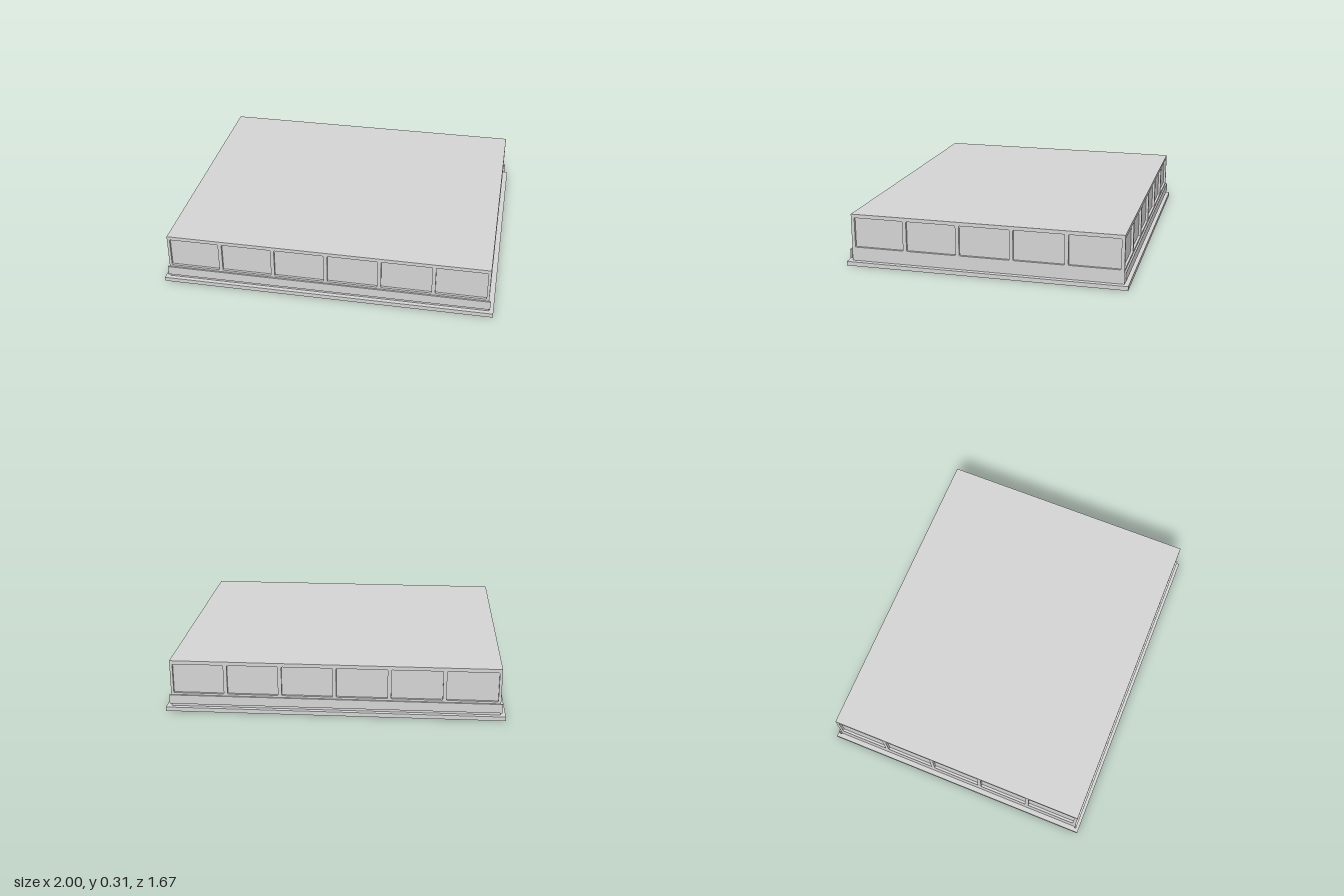
import * as THREE from 'three';

const grey = new THREE.MeshStandardMaterial({ color: 0xd4d4d4 });
grey.name = 'light grey';

const HX = 0.97, HZ = 0.81, BASE = 0.025, TOP = 0.31, DEPTH = 0.015;

function box(name, w, h, d, y, z = 0) {
  const mesh = new THREE.Mesh(new THREE.BoxGeometry(w, h, d), grey);
  mesh.name = name;
  mesh.position.set(0, y + h / 2, z);
  return mesh;
}

// Window opening with slightly rounded corners
function opening(x0, x1, y0, y1, r = 0.006) {
  const p = new THREE.Path();
  p.moveTo(x0 + r, y0);
  p.lineTo(x1 - r, y0);
  p.quadraticCurveTo(x1, y0, x1, y0 + r);
  p.lineTo(x1, y1 - r);
  p.quadraticCurveTo(x1, y1, x1 - r, y1);
  p.lineTo(x0 + r, y1);
  p.quadraticCurveTo(x0, y1, x0, y1 - r);
  p.lineTo(x0, y0 + r);
  p.quadraticCurveTo(x0, y0, x0 + r, y0);
  return p;
}

// Wall skin pierced by a row of equal openings, spread over +-span
function wallFrame(name, half, span, count, gap) {
  const shape = new THREE.Shape();
  shape.moveTo(-half, BASE);
  shape.lineTo(half, BASE);
  shape.lineTo(half, TOP);
  shape.lineTo(-half, TOP);
  shape.closePath();
  const width = (2 * span - gap * (count - 1)) / count;
  for (let i = 0; i < count; i++) {
    const x = -span + i * (width + gap);
    shape.holes.push(opening(x, x + width, 0.108, 0.288));
  }
  const geometry = new THREE.ExtrudeGeometry(shape, { depth: DEPTH, bevelEnabled: false, curveSegments: 3 });
  const mesh = new THREE.Mesh(geometry, grey);
  mesh.name = name;
  return mesh;
}

export function createModel() {
  const model = new THREE.Group();
  model.name = 'lowBuilding';

  // Foundation slab and solid core, whose sides form the recessed panels
  model.add(box('foundationSlab', 2, BASE, 1.674, 0));
  model.add(box('core', 2 * (HX - DEPTH), TOP - BASE, 2 * (HZ - DEPTH), BASE));

  for (const s of [1, -1]) {
    const end = s > 0 ? 'front' : 'back';
    const side = s > 0 ? 'left' : 'right';

    // Long walls with six panels
    const longWall = wallFrame(end + 'WallFrame', HX, 0.954, 6, 0.022);
    longWall.rotation.y = s > 0 ? 0 : Math.PI;
    longWall.position.z = s * (HZ - DEPTH);
    model.add(longWall);

    // Short walls with five panels
    const shortWall = wallFrame(side + 'WallFrame', HZ - DEPTH, 0.79, 5, 0.022);
    shortWall.rotation.y = s * Math.PI / 2;
    shortWall.position.x = s * (HX - DEPTH);
    model.add(shortWall);

    // Projecting ledge below the panels on the long walls
    model.add(box(end + 'Ledge', 1.96, 0.055, 0.01, 0.041, s * (HZ + 0.005)));
  }
  return model;
}
